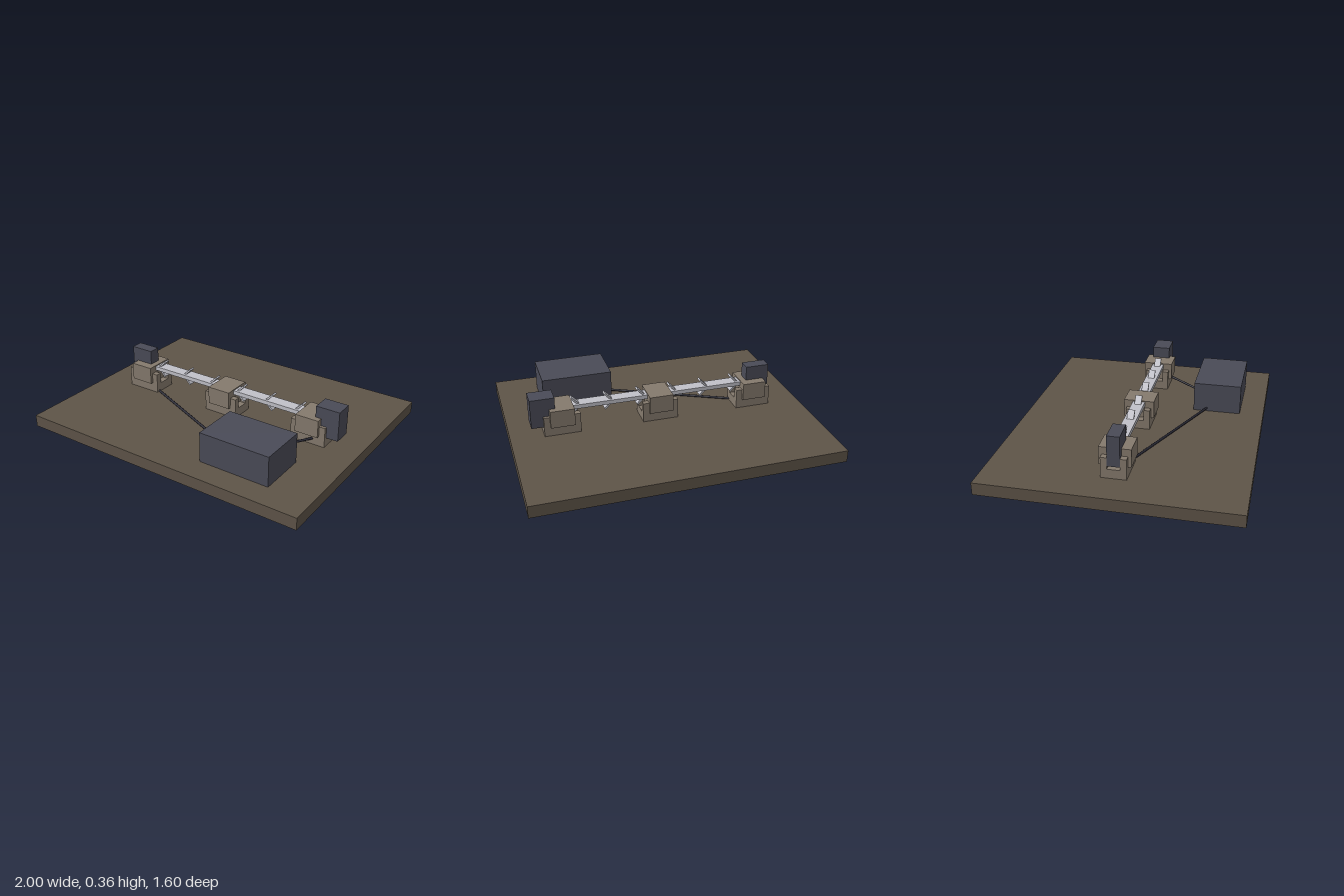
import * as THREE from 'three';

function material(name, color) {
  const m = new THREE.MeshStandardMaterial({ color });
  m.name = name;
  return m;
}

export function createModel() {
  const group = new THREE.Group();
  const brown = material('baseBrown', 0x5e5448);
  const tan = material('mountTan', 0x857a6d);
  const slate = material('slateGrey', 0x4a4b57);
  const silver = material('silver', 0xc0c0c8);
  const black = material('cableBlack', 0x2a2a36);

  function add(name, geometry, mat, parent = group) {
    const mesh = new THREE.Mesh(geometry, mat);
    mesh.name = name;
    parent.add(mesh);
    return mesh;
  }
  // Box given by its limits on each axis
  function box(name, mat, [x0, x1], [y0, y1], [z0, z1], parent) {
    const mesh = add(name, new THREE.BoxGeometry(x1 - x0, y1 - y0, z1 - z0), mat, parent);
    mesh.position.set((x0 + x1) / 2, (y0 + y1) / 2, (z0 + z1) / 2);
    return mesh;
  }

  box('basePlate', brown, [-1, 1], [0, 0.08], [-0.8, 0.8]);

  // Three U-shaped cradles, each with a clamp block
  for (const x of [-0.66, 0, 0.66]) {
    const mount = new THREE.Group();
    mount.name = 'mount';
    mount.position.x = x;
    group.add(mount);
    const profile = new THREE.Shape([
      [-0.08, 0.08], [0.08, 0.08], [0.08, 0.215], [0.04, 0.215],
      [0.04, 0.14], [-0.04, 0.14], [-0.04, 0.215], [-0.08, 0.215],
    ].map(([a, b]) => new THREE.Vector2(a, b)));
    const cradle = new THREE.ExtrudeGeometry(profile, { depth: 0.24, bevelEnabled: false });
    cradle.translate(0, 0, -0.12).rotateY(Math.PI / 2);
    add('cradle', cradle, tan, mount);
    box('clampBlock', tan, [-0.08, 0.08], [0.145, 0.263], [-0.1, 0.1], mount);
  }

  // Rail with pairs of slanted slats above and below
  box('rail', silver, [-0.6, 0.6], [0.228, 0.256], [-0.04, 0.04]);
  for (let i = 0; i < 6; i++) {
    for (const side of [1, -1]) {
      const slat = add('slat', new THREE.BoxGeometry(0.08, 0.012, 0.044), silver);
      slat.position.set(-0.542 + i * 0.22, 0.242 + side * 0.027, 0);
      slat.rotation.z = side * Math.PI / 4;
    }
  }

  // End units and the control box
  box('rightEndUnit', slate, [-0.78, -0.62], [0.16, 0.36], [-0.04, 0.04]);
  box('leftEndUnit', slate, [0.7, 0.86], [0.14, 0.34], [-0.06, 0.06]);
  box('controlBox', slate, [0.24, 0.72], [0.08, 0.28], [0.32, 0.64]);

  // Cables from the control box to the end mounts
  const cables = [
    [[0.4, 0.102, 0.48], [-0.66, 0.083, 0.005]],
    [[0.4, 0.1, 0.48], [0.75, 0.122, 0]],
  ];
  for (const ends of cables) {
    const [a, b] = ends.map((p) => new THREE.Vector3(...p));
    add('cable', new THREE.TubeGeometry(new THREE.LineCurve3(a, b), 1, 0.008, 8), black);
  }
  return group;
}
